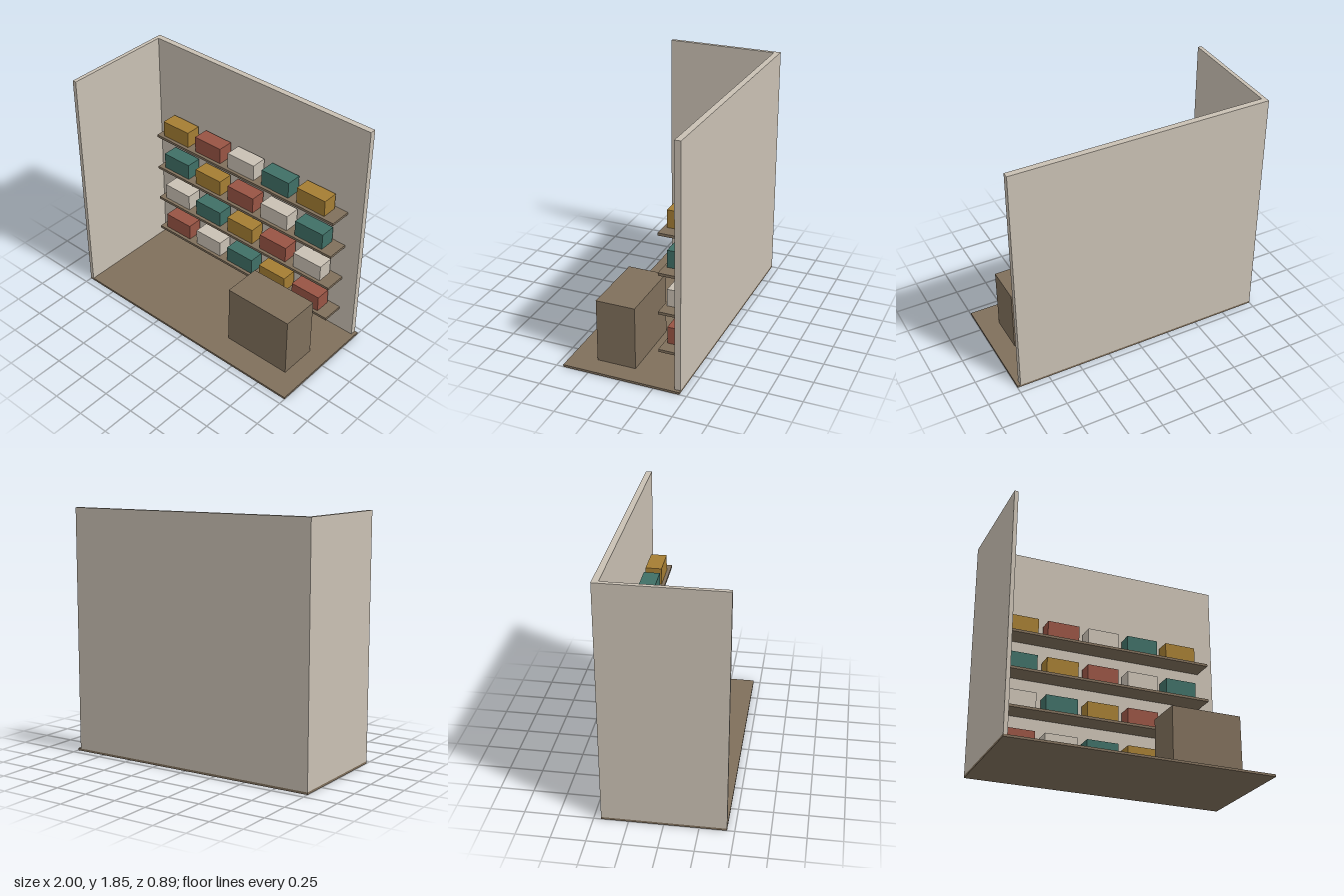
import * as THREE from 'three';

const material = (name, color) => {
  const m = new THREE.MeshStandardMaterial({ color });
  m.name = name;
  return m;
};

export function createModel() {
  const model = new THREE.Group();
  model.name = 'shopCorner';

  const plaster = material('plaster', 0xc9c0b3);
  const wood = material('wood', 0x7f6f5b);
  const red = material('red', 0x985444);
  const teal = material('teal', 0x3f6f66);
  const ochre = material('ochre', 0xa47d33);

  // Box given by its lower and upper corner
  const addBox = (parent, name, mat, [x0, y0, z0], [x1, y1, z1]) => {
    const mesh = new THREE.Mesh(new THREE.BoxGeometry(x1 - x0, y1 - y0, z1 - z0), mat);
    mesh.position.set((x0 + x1) / 2, (y0 + y1) / 2, (z0 + z1) / 2);
    mesh.name = name;
    parent.add(mesh);
  };

  const depth = 0.446;
  const floorTop = 0.017;
  const wallFront = -0.4;

  // Floor and the two walls
  addBox(model, 'floor', wood, [-1, 0, -depth], [1, floorTop, depth]);
  addBox(model, 'backWall', plaster, [-1, floorTop, -depth], [0.975, 1.852, wallFront]);
  addBox(model, 'sideWall', plaster, [-1, floorTop, wallFront], [-0.97, 1.852, depth]);

  // Counter
  addBox(model, 'counter', wood, [0.3, floorTop, -0.049], [0.848, 0.502, 0.248]);

  // Shelves, each with a row of goods whose colours shift along by one
  const goods = [red, plaster, teal, ochre];
  for (let row = 0; row < 4; row++) {
    const unit = new THREE.Group();
    unit.name = 'shelfUnit';
    unit.position.y = 0.202 + row * 0.3;
    addBox(unit, 'shelf', wood, [-0.85, 0, wallFront], [0.848, 0.02, -0.226]);
    for (let i = 0; i < 5; i++) {
      const x = -0.8 + i * 0.325;
      addBox(unit, 'goodsBox', goods[(row + i) % 4], [x, 0.02, -0.375], [x + 0.25, 0.15, -0.252]);
    }
    model.add(unit);
  }

  return model;
}
